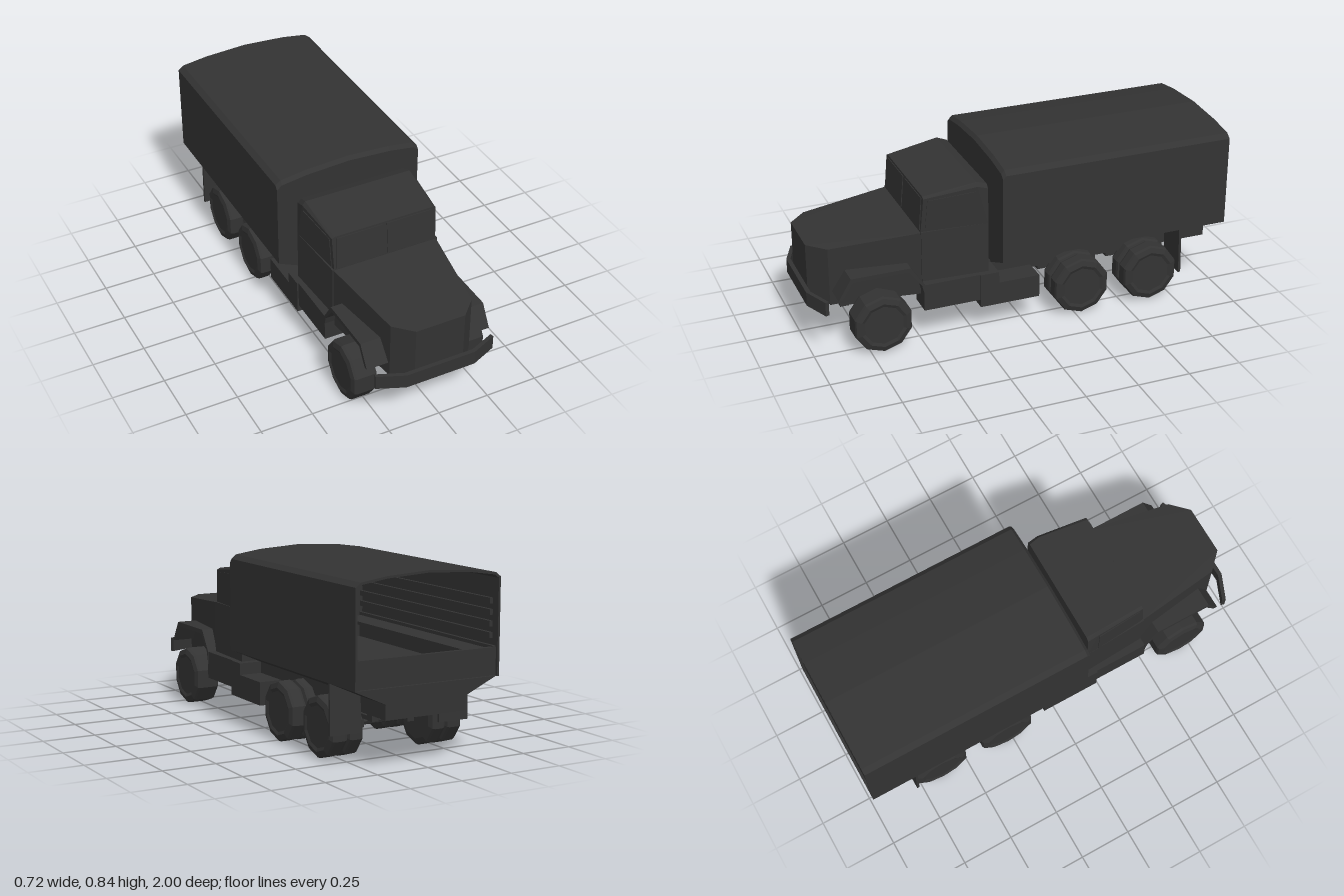
import * as THREE from 'three';
import { ConvexGeometry } from 'three/addons/geometries/ConvexGeometry.js';

const paint = new THREE.MeshStandardMaterial({ color: 0x333333 });
paint.name = 'dark grey';

export function createModel() {
  const root = new THREE.Group();
  root.name = 'coveredTruck';

  // Helpers
  const add = (name, geo) => {
    const flat = geo.index ? geo.toNonIndexed() : geo;
    flat.computeVertexNormals();
    const mesh = new THREE.Mesh(flat, paint);
    mesh.name = name;
    root.add(mesh);
    return mesh;
  };
  // Box given by its limits
  const box = (name, x0, x1, y0, y1, z0, z1) => {
    const g = new THREE.BoxGeometry(Math.abs(x1 - x0), y1 - y0, z1 - z0);
    g.translate((x0 + x1) / 2, (y0 + y1) / 2, (z0 + z1) / 2);
    return add(name, g);
  };
  const hull = (name, pts) => add(name, new ConvexGeometry(pts.map(p => new THREE.Vector3(...p))));
  // Hull from half of a symmetric point set
  const mirrorHull = (name, pts) => hull(name, pts.flatMap(([x, y, z]) => [[x, y, z], [-x, y, z]]));
  const shapeOf = pts => new THREE.Shape(pts.map(p => new THREE.Vector2(...p)));
  const extrude = (shape, depth) => new THREE.ExtrudeGeometry(shape, { depth, bevelEnabled: false });
  const symmetric = half => [...half, ...half.slice().reverse().filter(p => p[0] > 0).map(([x, y]) => [-x, y])];

  // Chassis and bumper
  box('chassis', -0.2, 0.2, 0.22, 0.295, -0.98, 0.9);
  const bumper = extrude(shapeOf([[-0.29, 0.93], [-0.17, 0.98], [0.17, 0.98], [0.29, 0.93],
    [0.295, 0.947], [0.17, 1], [-0.17, 1], [-0.295, 0.947]]), 0.068);
  bumper.rotateX(Math.PI / 2);
  bumper.translate(0, 0.29, 0);
  add('bumper', bumper);
  for (const s of [-1, 1]) box('bumperBracket', s * 0.08, s * 0.12, 0.23, 0.28, 0.88, 0.985);

  // Hood with chamfered nose, rising to the windshield
  mirrorHull('hood', [0.225, null].flatMap(low => [
    [0.12, low ?? 0.5, 0.98], [0.2, low ?? 0.5, 0.9], [0.26, low ?? 0.532, 0.48],
  ]));

  // Cab body and tapered upper cab
  mirrorHull('cabBody', [0.225, 0.535].flatMap(y => [[0.282, y, 0.17], [0.265, y, 0.485]]));
  mirrorHull('cabTop', [
    [0.282, 0.53, 0.17], [0.256, 0.53, 0.485],
    [0.26, 0.695, 0.47], [0.245, 0.703, 0.47],
    [0.28, 0.722, 0.22], [0.265, 0.74, 0.22],
    [0.278, 0.705, 0.17], [0.26, 0.722, 0.17],
  ]);

  // Window panes as thin plates
  for (const s of [-1, 1]) {
    const pane = [];
    for (const [x, y] of [[0.011, 0.54], [0.245, 0.54], [0.238, 0.693], [0.011, 0.693]]) {
      const z = 0.485 - (y - 0.53) * 0.09;
      pane.push([s * x, y, z + 0.004], [s * x, y, z - 0.003]);
    }
    hull('windshieldPane', pane);
    const side = [];
    for (const [y, z] of [[0.54, 0.23], [0.54, 0.465], [0.685, 0.452], [0.7, 0.23]]) {
      const x = 0.282 - (z - 0.17) * 0.0825 + (y - 0.53) * 0.015;
      side.push([s * (x + 0.003), y, z], [s * (x - 0.004), y, z]);
    }
    hull('sideWindow', side);
  }

  // Front fenders: angular arches
  for (const s of [-1, 1]) {
    const arch = extrude(shapeOf([[0.89, 0.29], [0.83, 0.39], [0.55, 0.39], [0.485, 0.29], [0.485, 0.23],
      [0.5, 0.29], [0.56, 0.37], [0.82, 0.37], [0.87, 0.29]]), 0.115);
    arch.rotateY(-Math.PI / 2);
    arch.translate(s > 0 ? 0.307 : -0.192, 0, 0);
    add('frontFender', arch);

    // Steps, tanks and cab sill
    box('cabStep', s * 0.19, s * 0.305, 0.16, 0.29, 0.22, 0.49);
    box('sideTank', s * 0.17, s * 0.312, 0.125, 0.235, -0.07, 0.22);
    box('rearCabSill', s * 0.19, s * 0.312, 0.225, 0.29, 0.13, 0.22);
  }

  // Cargo bed with sloping underside
  const bed = extrude(shapeOf(symmetric([[0.2, 0.288], [0.355, 0.358], [0.355, 0.37]])), 1.115);
  bed.translate(0, 0, -0.985);
  add('cargoBed', bed);
  for (const s of [-1, 1]) box('bedSide', s * 0.335, s * 0.356, 0.36, 0.49, -0.985, 0.12);
  box('tailgate', -0.355, 0.355, 0.36, 0.485, -0.988, -0.968);

  // Canvas cover: hollow shell, open at the back
  const roof = [[0.36, 0.36], [0.36, 0.79], [0.335, 0.81], [0.21, 0.828], [0, 0.84]];
  const cover = shapeOf(symmetric(roof));
  cover.holes.push(new THREE.Path(symmetric([[0.35, 0.362], [0.35, 0.784], [0.33, 0.8], [0.208, 0.818], [0, 0.83]])
    .map(p => new THREE.Vector2(...p))));
  const shell = extrude(cover, 1.115);
  shell.translate(0, 0, -1);
  add('canvasCover', shell);
  mirrorHull('canvasFront', [
    ...roof.map(([x, y]) => [x, y, 0.115]),
    ...roof.map(([x, y]) => [x, y > 0.5 ? y - 0.018 : y, 0.13]),
  ]);

  // Slatted benches inside the cover
  for (const s of [-1, 1]) {
    for (let i = 0; i < 4; i++) {
      const y = 0.52 + i * 0.05;
      box('sideSlat', s * 0.335, s * 0.352, y, y + 0.025, -0.96, 0.11);
    }
    box('bench', s * 0.22, s * 0.34, 0.46, 0.475, -0.95, 0.1);
  }

  // Wheels: ten-sided, with chamfered shoulders and a dished face
  const tyre = (name, x0, x1, z, s) => {
    const w = x1 - x0;
    const profile = [[0, 0], [0.11, 0], [0.135, 0.008], [0.14, 0.02], [0.14, w - 0.02],
      [0.135, w - 0.008], [0.11, w], [0.095, w - 0.006], [0, w - 0.006]];
    const g = new THREE.LatheGeometry(profile.map(p => new THREE.Vector2(...p)), 10, Math.PI / 2);
    g.rotateZ(-s * Math.PI / 2);
    g.translate(s * x0, 0.14, z);
    add(name, g);
  };
  const axles = [0.69, -0.28, -0.635];
  for (const z of axles) {
    for (const s of [-1, 1]) {
      if (z > 0) tyre('frontWheel', 0.21, 0.335, z, s);
      else {
        tyre('innerRearWheel', 0.172, 0.25, z, s);
        tyre('outerRearWheel', 0.25, 0.335, z, s);
      }
      // Leaf spring and its hangers
      box('springSaddle', s * 0.112, s * 0.147, 0.12, 0.19, z - 0.03, z + 0.03);
      box('leafSpring', s * 0.115, s * 0.143, 0.17, 0.19, z - 0.12, z + 0.12);
      for (const e of [-1, 1]) {
        box('springHanger', s * 0.112, s * 0.147, 0.17, 0.225, z + e * 0.13 - 0.02, z + e * 0.13 + 0.02);
      }
    }
    const axle = new THREE.CylinderGeometry(0.018, 0.018, 0.46, 8);
    axle.rotateZ(Math.PI / 2);
    axle.translate(0, 0.142, z);
    add('axle', axle);
  }

  // Mud flaps behind the rear wheels
  for (const s of [-1, 1]) {
    hull('mudFlap', [0.2, 0.352].flatMap(x => [
      [s * x, 0.36, -0.766], [s * x, 0.36, -0.778], [s * x, 0.13, -0.772], [s * x, 0.13, -0.784],
    ]));
  }
  return root;
}
